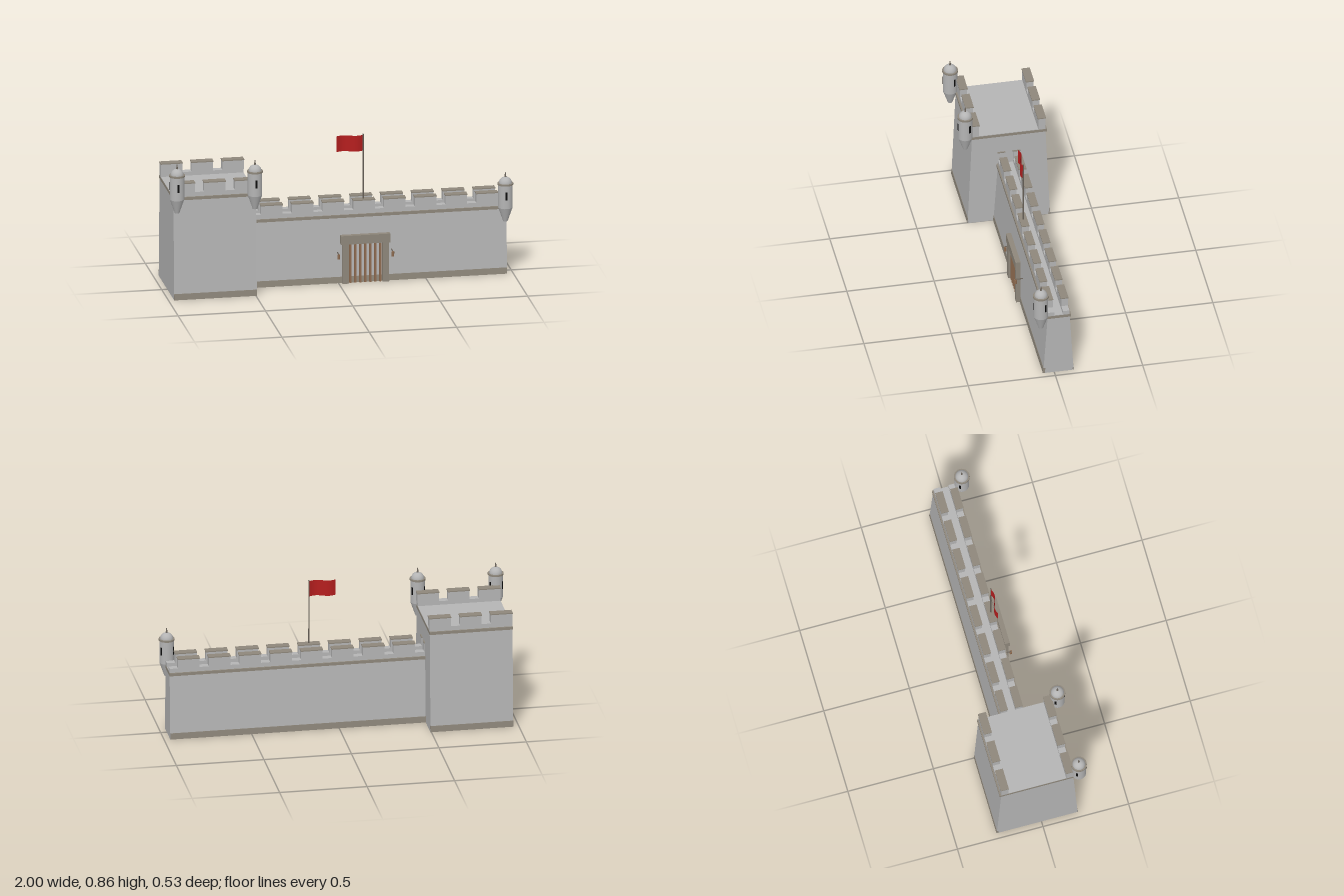
import * as THREE from 'three';

const mat = (name, color) => {
  const m = new THREE.MeshStandardMaterial({ color });
  m.name = name;
  return m;
};

export function createModel() {
  const stone = mat('stone', 0xb4b4b4);
  const trim = mat('trim stone', 0x8e877b);
  const wood = mat('wood', 0x8f6c50);
  const iron = mat('dark metal', 0x6c655c);
  const black = mat('slit black', 0x0c0c0c);
  const red = mat('flag red', 0xb41e1e);
  red.side = THREE.DoubleSide;

  const root = new THREE.Group();
  root.name = 'fortress';

  const add = (parent, name, geometry, material, x = 0, y = 0, z = 0) => {
    const mesh = new THREE.Mesh(geometry, material);
    mesh.name = name;
    mesh.position.set(x, y, z);
    parent.add(mesh);
    return mesh;
  };
  // box given by its limits
  const box = (parent, name, material, x0, x1, y0, y1, z0, z1) =>
    add(parent, name, new THREE.BoxGeometry(x1 - x0, y1 - y0, z1 - z0), material,
      (x0 + x1) / 2, (y0 + y1) / 2, (z0 + z1) / 2);
  // [z, y] profile swept along x
  const prism = (parent, name, material, profile, x0, x1) => {
    const shape = new THREE.Shape(profile.map(([z, y]) => new THREE.Vector2(-z, y)));
    const g = new THREE.ExtrudeGeometry(shape, { depth: x1 - x0, bevelEnabled: false });
    g.rotateY(Math.PI / 2);
    return add(parent, name, g, material, x0);
  };
  const group = (name, x = 0, y = 0, z = 0) => {
    const g = new THREE.Group();
    g.name = name;
    g.position.set(x, y, z);
    root.add(g);
    return g;
  };

  // Battered body with cordon, plinths and two crenellated parapets
  function rampart(name, o) {
    const g = group(name);
    const { x0, x1, h, front, back, frontTop, backTop } = o;
    prism(g, 'body', stone, [[front, 0], [back, 0], [backTop, h], [frontTop, h]], x0, x1);
    box(g, 'cordon', trim, x0 - 0.001, x1 + 0.001, h - 0.02, h - 0.003, backTop - 0.009, frontTop + 0.009);
    for (const [zb, zt, s] of [[front, frontTop, 1], [back, backTop, -1]]) {
      const zp = zb + (zt - zb) * 0.036 / h;
      prism(g, 'plinth', trim,
        [[zb - s * 0.01, 0], [zb + s * 0.002, 0], [zp + s * 0.002, 0.036], [zp - s * 0.01, 0.036]],
        o.plinthX ?? x0, x1);
      // parapet, merlons and caps
      const inner = zt - s * o.thick;
      const a = Math.min(zt, inner), b = Math.max(zt, inner);
      box(g, 'parapet', stone, x0, x1, h - 0.01, h + 0.022, a, b);
      for (let i = 0; i < o.count; i++) {
        const mx = o.first + i * 0.176;
        box(g, 'merlon', stone, mx, mx + 0.123, h + 0.02, h + 0.073, a, b);
        box(g, 'merlonCap', trim, mx - 0.002, mx + 0.125, h + 0.073, h + 0.079, a - 0.003, b + 0.003);
      }
    }
  }
  rampart('bastion', {
    x0: -0.968, x1: -0.495, h: 0.602, front: 0.211, back: -0.261,
    frontTop: 0.186, backTop: -0.235, thick: 0.041, first: -0.968, count: 3,
  });
  rampart('curtainWall', {
    x0: -0.6, x1: 0.965, plinthX: -0.5, h: 0.397, front: 0.063, back: -0.111,
    frontTop: 0.037, backTop: -0.088, thick: 0.038, first: -0.614, count: 9,
  });

  // Corner turrets
  const turrets = [[-0.954, 0.518, 0.222], [-0.508, 0.518, 0.222], [0.953, 0.315, 0.074]];
  for (const [x, y, z] of turrets) {
    const g = group('turret', x, y, z);
    const tube = (name, m, top, bottom, y0, y1) =>
      add(g, name, new THREE.CylinderGeometry(top, bottom, y1 - y0, 24), m, 0, (y0 + y1) / 2, 0);
    tube('corbel', stone, 0.041, 0.013, 0, 0.081);
    tube('drum', stone, 0.041, 0.041, 0.081, 0.216);
    tube('ring', trim, 0.045, 0.045, 0.215, 0.225);
    add(g, 'dome', new THREE.SphereGeometry(0.037, 24, 10, 0, Math.PI * 2, 0, Math.PI / 2),
      stone, 0, 0.223, 0);
    tube('finial', iron, 0.002, 0.006, 0.257, 0.286);
    for (let i = 0; i < 3; i++) {
      const a = i * Math.PI * 2 / 3;
      const slit = add(g, 'slit', new THREE.BoxGeometry(0.011, 0.047, 0.006), black,
        Math.sin(a) * 0.039, 0.155, Math.cos(a) * 0.039);
      slit.rotation.y = a;
    }
  }

  // Gate
  const gate = group('gate');
  box(gate, 'jamb', trim, 0.02, 0.055, 0, 0.234, 0.06, 0.085);
  box(gate, 'jamb', trim, 0.25, 0.285, 0, 0.234, 0.06, 0.085);
  box(gate, 'lintel', trim, 0.01, 0.292, 0.232, 0.283, 0.061, 0.09);
  for (let i = 0; i < 7; i++) {
    const x = 0.067 + i * 0.0285;
    box(gate, 'gateBar', wood, x - 0.006, x + 0.006, 0, 0.233, 0.064, 0.074);
  }

  // Wall lanterns beside the gate
  for (const x of [-0.004, 0.306]) {
    const g = group('lantern', x, 0, 0);
    box(g, 'bracket', iron, -0.002, 0.002, 0.176, 0.181, 0.045, 0.095);
    add(g, 'lamp', new THREE.CylinderGeometry(0.008, 0.007, 0.028, 10), wood, 0, 0.163, 0.092);
  }

  // Flagpole with a waving flag
  const banner = group('banner', 0.15, 0, 0.018);
  add(banner, 'flagpole', new THREE.CylinderGeometry(0.003, 0.004, 0.46, 10), iron, 0, 0.625, 0);
  add(banner, 'poleKnob', new THREE.SphereGeometry(0.004, 10, 8), iron, 0, 0.855, 0);
  const cloth = new THREE.PlaneGeometry(0.15, 0.093, 20, 1);
  const p = cloth.attributes.position;
  for (let i = 0; i < p.count; i++) {
    const t = (0.075 - p.getX(i)) / 0.15;
    p.setZ(i, Math.sin(t * Math.PI * 2) * 0.011);
  }
  cloth.computeVertexNormals();
  add(banner, 'flag', cloth, red, -0.077, 0.805, 0);

  return root;
}
